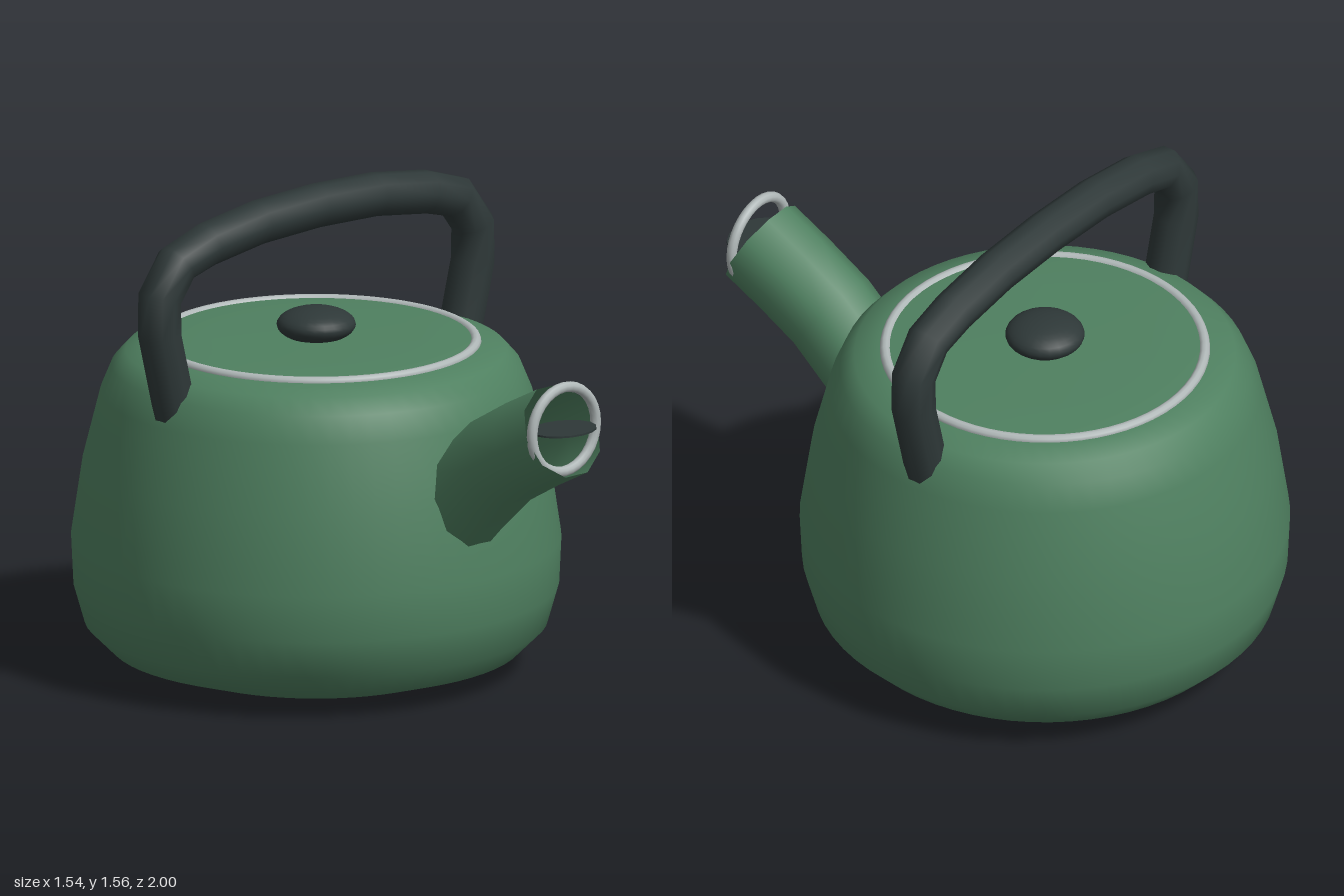
import * as THREE from 'three';

const green = new THREE.MeshStandardMaterial({ color: 0x4f8060, side: THREE.DoubleSide });
const dark = new THREE.MeshStandardMaterial({ color: 0x2e3838 });
const silver = new THREE.MeshStandardMaterial({ color: 0xb0b8b8 });

const BODY_Z = -0.23;

// Round tube with exactly one cross-section at every path point
function sweep(points, radius, sides) {
  const curve = new THREE.CatmullRomCurve3(points);
  curve.getUtoTmapping = (u) => u;
  return new THREE.TubeGeometry(curve, points.length - 1, radius, sides, false);
}

function lathe(profile, segments) {
  return new THREE.LatheGeometry(profile.map(([r, y]) => new THREE.Vector2(r, y)), segments);
}

export function createModel() {
  const model = new THREE.Group();
  model.name = 'kettle';
  const add = (name, geometry, material, x, y, z) => {
    const mesh = new THREE.Mesh(geometry, material);
    mesh.name = name;
    mesh.position.set(x, y, z);
    model.add(mesh);
    return mesh;
  };

  // Rounded body, wider below the middle
  add('body', lathe([
    [0, 0], [0.36, 0.002], [0.47, 0.01], [0.65, 0.067], [0.73, 0.147], [0.765, 0.27],
    [0.772, 0.42], [0.735, 0.67], [0.68, 0.89], [0.645, 0.975], [0.6, 1.025], [0.525, 1.05], [0.46, 1.052],
  ], 64), green, 0, 0, BODY_Z);

  // Lid with its trim ring and knob
  add('lid', lathe([[0.5, 1.05], [0.49, 1.058], [0.33, 1.064], [0, 1.067]], 64), green, 0, 0, BODY_Z);
  add('lidRing', new THREE.TorusGeometry(0.503, 0.017, 10, 64).rotateX(Math.PI / 2), silver, 0, 1.05, BODY_Z);
  add('knob', new THREE.SphereGeometry(1, 24, 16).scale(0.125, 0.055, 0.125), dark, 0, 1.105, BODY_Z);

  // Arched handle, its ends sunk into the shoulders
  const half = [[0.575, 0.8], [0.674, 1.19], [0.674, 1.31], [0.6, 1.41], [0.47, 1.45], [0.25, 1.482]];
  const arch = [
    ...half.map(([x, y]) => [-x, y]), [0, 1.491], ...half.map(([x, y]) => [x, y]).reverse(),
  ].map(([x, y]) => new THREE.Vector3(x, y, 0));
  add('handle', sweep(arch, 0.07, 10), dark, 0, 0, BODY_Z);

  // Open spout rising to the front
  const path = [[0.56, 0.34], [0.7, 0.48], [0.825, 0.62], [0.908, 0.765], [0.978, 0.903]]
    .map(([y, z]) => new THREE.Vector3(0, y, z));
  add('spout', sweep(path, 0.154, 10), green, 0, 0, 0);

  // Upright rim and thin flap at the mouth of the spout
  add('spoutRing', new THREE.TorusGeometry(0.137, 0.017, 10, 32), silver, 0, 0.985, 0.911);
  add('spoutFlap', new THREE.CylinderGeometry(1, 1, 0.006, 16).scale(0.115, 1, 0.09), dark, 0, 0.985, 0.91);

  return model;
}
